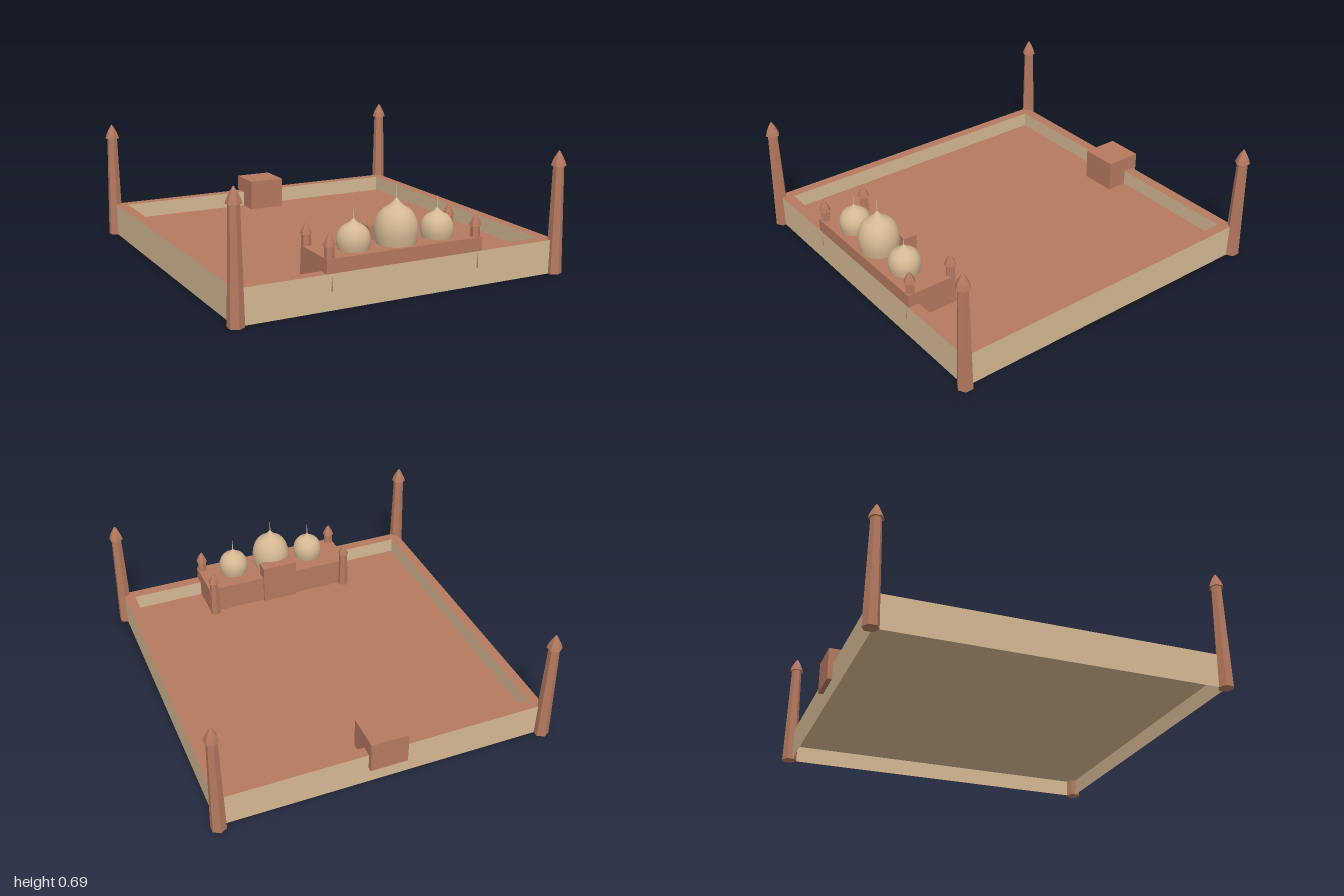
import * as THREE from 'three';

// Sandstone is used on open sheets, so it shows from both sides
const sandstone = new THREE.MeshStandardMaterial({ color: 0xd4b892, side: THREE.DoubleSide });
sandstone.name = 'sandstone';
const redStone = new THREE.MeshStandardMaterial({ color: 0xb5795f });
redStone.name = 'redStone';

const FLOOR = 0.1, WALL_TOP = 0.19, HALL_TOP = 0.265;
const OUTER = [0.945, 0.951], INNER = [0.885, 0.888], YARD_Z = 0.006;

function addMesh(parent, name, geometry, material, x = 0, y = 0, z = 0) {
  const mesh = new THREE.Mesh(geometry, material);
  mesh.name = name;
  mesh.position.set(x, y, z);
  parent.add(mesh);
  return mesh;
}

// Box given by its limits on each axis
function addBlock(parent, name, [x0, x1], [y0, y1], [z0, z1], material) {
  return addMesh(parent, name, new THREE.BoxGeometry(x1 - x0, y1 - y0, z1 - z0), material,
    (x0 + x1) / 2, (y0 + y1) / 2, (z0 + z1) / 2);
}

// Four upright sheets around a rectangle
function addWallRing(parent, name, [w, d], y0, y1) {
  const ring = new THREE.Group();
  ring.name = name;
  for (let i = 0; i < 4; i++) {
    const [half, reach] = i % 2 ? [d, w] : [w, d];
    const sheet = new THREE.PlaneGeometry(half * 2, y1 - y0).translate(0, (y0 + y1) / 2, reach);
    sheet.rotateY(i * Math.PI / 2);
    addMesh(ring, 'wallSheet', sheet, sandstone);
  }
  parent.add(ring);
}

function lathe(profile, sides) {
  return new THREE.LatheGeometry(profile.map(([r, y]) => new THREE.Vector2(r, y)), sides);
}

// Six-sided tapering tower with an overhanging pointed cap, facets kept flat
function minaretGeometry(rBase, rTop, rCap, shaft, cap) {
  const geometry = lathe([
    [0, 0], [rBase, 0], [rTop, shaft], [rCap, shaft], [rCap * 0.8, shaft + cap * 0.3],
    [rCap * 0.52, shaft + cap * 0.6], [rCap * 0.2, shaft + cap * 0.87], [0, shaft + cap],
  ], 6).toNonIndexed();
  geometry.computeVertexNormals();
  return geometry;
}

// Bulbous dome with an ogee tip and a needle finial
function addDome(parent, x, radius, height, needle) {
  const dome = new THREE.Group();
  dome.name = 'dome';
  dome.position.set(x, HALL_TOP, 0.84);
  const profile = [
    [0.91, 0], [0.98, 0.15], [1, 0.3], [0.97, 0.43], [0.89, 0.56],
    [0.77, 0.66], [0.62, 0.74], [0.36, 0.82], [0.17, 0.9], [0.02, 1],
  ].map(([r, y]) => [r * radius, y * height]);
  addMesh(dome, 'domeShell', lathe(profile, 20), sandstone);
  addMesh(dome, 'finial', new THREE.CylinderGeometry(0.001, 0.004, needle, 6), sandstone,
    0, height + needle / 2 - 0.004, 0);
  parent.add(dome);
}

export function createModel() {
  const model = new THREE.Group();
  model.name = 'courtyardMosque';

  // Walled yard: hollow below, red floor and red coping, sandstone walls
  const yard = new THREE.Group();
  yard.name = 'walledYard';
  yard.position.z = YARD_Z;
  model.add(yard);
  addWallRing(yard, 'outerWall', OUTER, 0, WALL_TOP);
  addWallRing(yard, 'innerWall', INNER, FLOOR, WALL_TOP);
  const flat = ([w, d]) => new THREE.PlaneGeometry(w * 2, d * 2).rotateX(-Math.PI / 2);
  addMesh(yard, 'courtyardFloor', flat(INNER), redStone, 0, FLOOR, 0);
  addMesh(yard, 'floorUnderside', flat(OUTER).rotateX(Math.PI), sandstone, 0, FLOOR - 0.003, 0);

  const rectangle = (Type, [w, d]) => new Type([[-w, -d], [w, -d], [w, d], [-w, d]]
    .map(([x, y]) => new THREE.Vector2(x, y)));
  const outline = rectangle(THREE.Shape, OUTER);
  outline.holes.push(rectangle(THREE.Path, INNER));
  addMesh(yard, 'wallCoping', new THREE.ShapeGeometry(outline).rotateX(-Math.PI / 2), redStone, 0, WALL_TOP, 0);

  // Gatehouse, prayer hall and its portal
  addBlock(model, 'gatehouse', [-0.108, 0.108], [FLOOR, 0.28], [-0.973, -0.758], redStone);
  addBlock(model, 'prayerHall', [-0.459, 0.459], [FLOOR, HALL_TOP], [0.683, 0.956], redStone);
  addBlock(model, 'portal', [-0.108, 0.108], [FLOOR, 0.34], [0.668, 0.745], redStone);

  // Three domes along the hall roof
  addDome(model, 0, 0.115, 0.24, 0.07);
  for (const side of [-1, 1]) addDome(model, side * 0.25, 0.089, 0.16, 0.065);

  // Tall corner minarets and small hall minarets
  const tall = minaretGeometry(0.044, 0.03, 0.042, 0.6, 0.085);
  const small = minaretGeometry(0.033, 0.025, 0.034, 0.225, 0.065);
  for (const side of [-1, 1]) {
    for (const z of [-0.956, 0.956]) addMesh(model, 'cornerMinaret', tall, redStone, side * 0.944, 0, z);
    for (const z of [0.674, 0.927]) addMesh(model, 'hallMinaret', small, redStone, side * 0.432, FLOOR, z);
  }
  return model;
}
